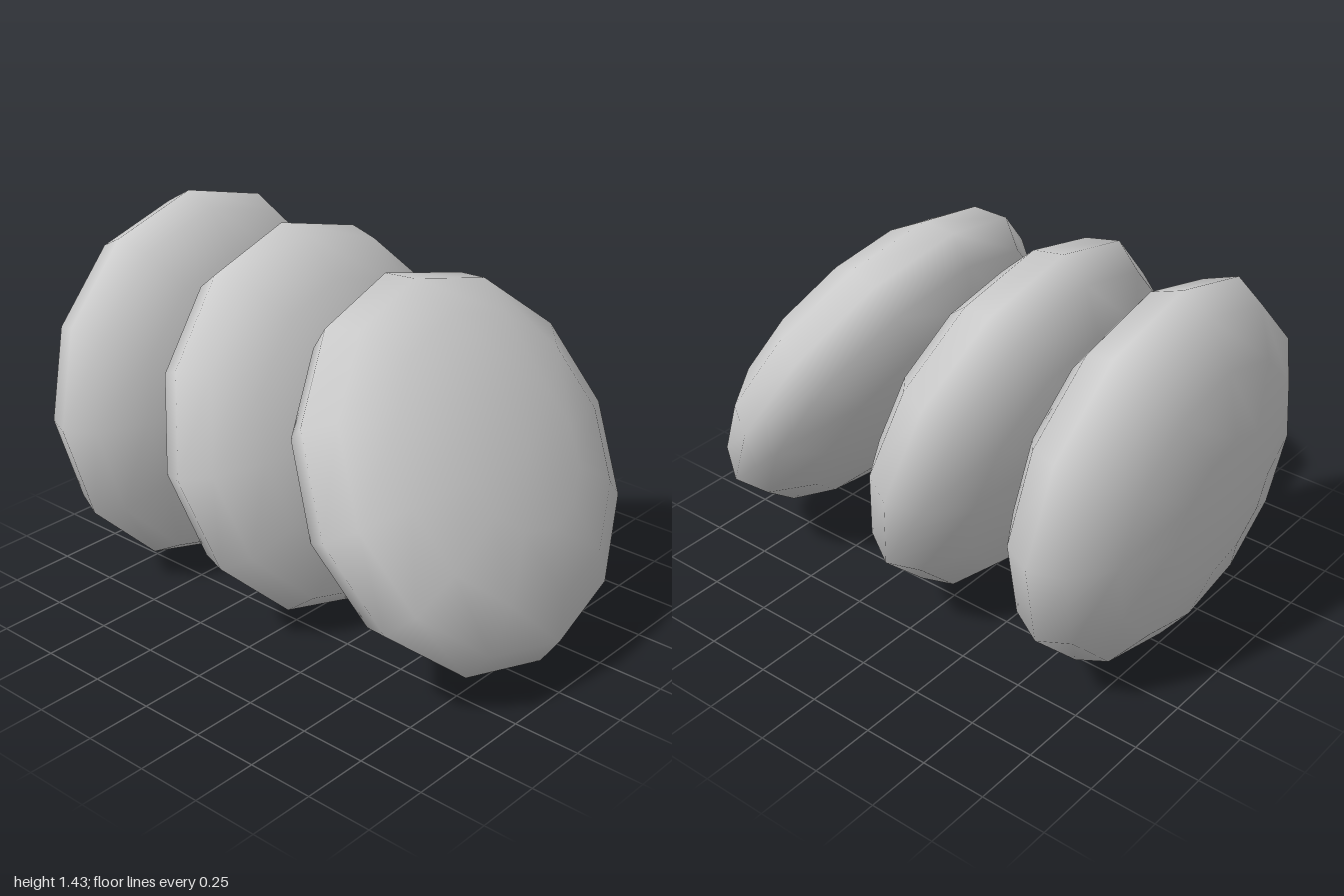
import * as THREE from 'three';

const RADIUS = 0.718;
const HALF_THICKNESS = 0.305;

export function createModel() {
  const model = new THREE.Group();
  model.name = 'leaningDiscs';
  const material = new THREE.MeshStandardMaterial({ color: 0xcccccc });

  // Flattened ball whose poles lie along x
  const discGeometry = new THREE.SphereGeometry(RADIUS, 12, 8);
  discGeometry.scale(1, HALF_THICKNESS / RADIUS, 1);
  discGeometry.rotateZ(Math.PI / 2);

  // Three discs in a row, each leaning further to the side
  const discs = [
    { name: 'uprightDisc', x: -0.695, tilt: 5 },
    { name: 'middleDisc', x: -0.1, tilt: 15 },
    { name: 'leaningDisc', x: 0.557, tilt: 30 },
  ];
  for (const { name, x, tilt } of discs) {
    const disc = new THREE.Mesh(discGeometry, material);
    disc.name = name;
    disc.position.set(x, 0.72, 0);
    disc.rotation.z = THREE.MathUtils.degToRad(tilt);
    model.add(disc);
  }
  return model;
}
